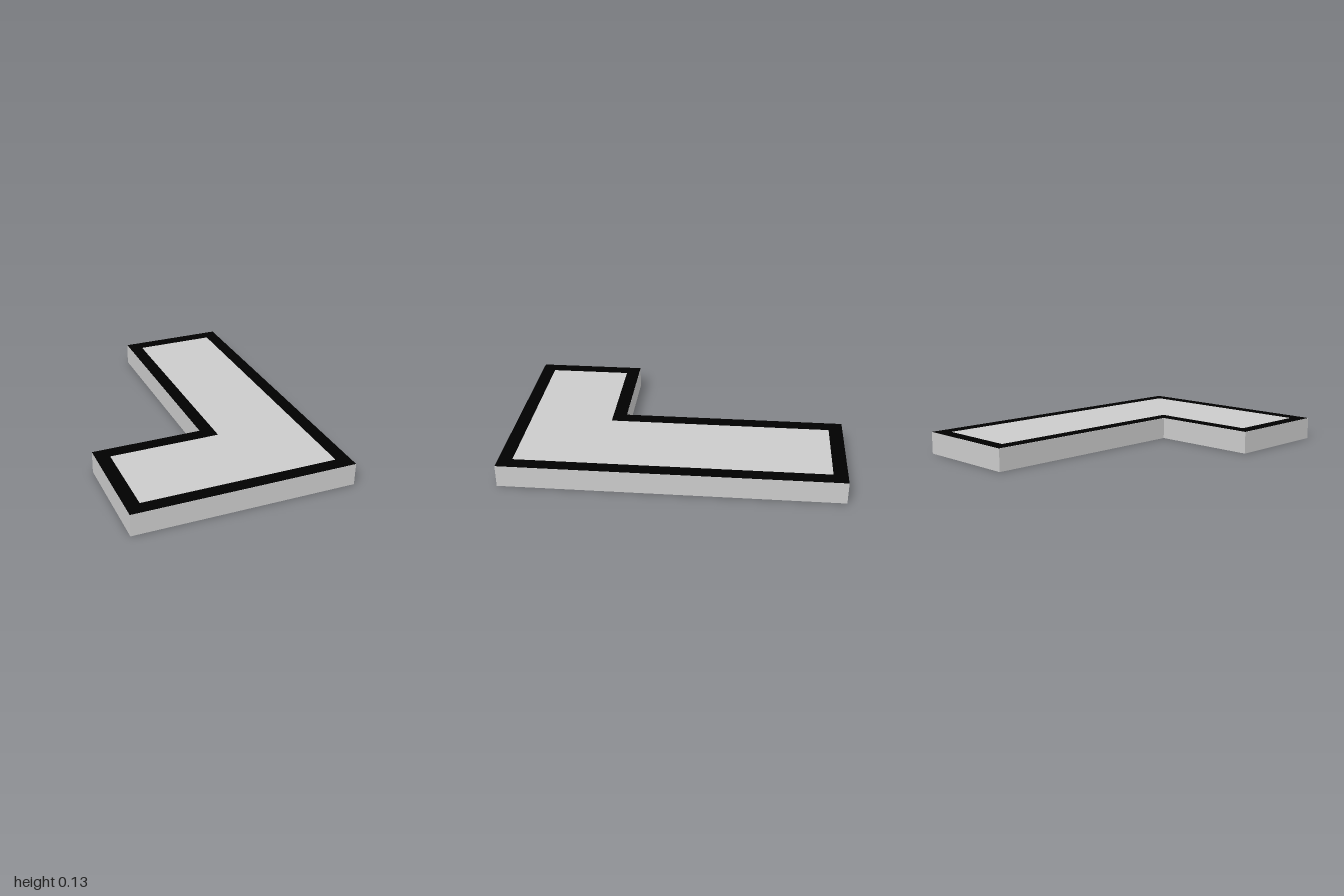
import * as THREE from 'three';

const HALF_WIDTH = 2 / 3, HEIGHT = 0.133, BORDER = 0.083;

// Corners of the L outline, moved inward by t (plan y is -z)
function outline(t) {
  const a = HALF_WIDTH - t, b = 1 - t, c = -1 / 3 - t;
  return [[-a, -b], [a, -b], [a, b], [t, b], [t, c], [-a, c]]
    .map(([x, y]) => new THREE.Vector2(x, y));
}

function addPart(group, name, geometry, color, y) {
  geometry.rotateX(-Math.PI / 2);
  const mesh = new THREE.Mesh(geometry, new THREE.MeshStandardMaterial({ color }));
  mesh.name = name;
  mesh.position.y = y;
  group.add(mesh);
}

export function createModel() {
  const group = new THREE.Group();
  group.name = 'lShapedTile';

  // Solid L-shaped slab
  const slab = new THREE.ExtrudeGeometry(new THREE.Shape(outline(0)), {
    depth: HEIGHT, bevelEnabled: false,
  });
  addPart(group, 'slab', slab, 0xcccccc, 0);

  // Flat black border around the top face
  const ring = new THREE.Shape(outline(0));
  ring.holes.push(new THREE.Path(outline(BORDER)));
  addPart(group, 'topBorder', new THREE.ShapeGeometry(ring), 0x000000, HEIGHT + 0.001);

  return group;
}
